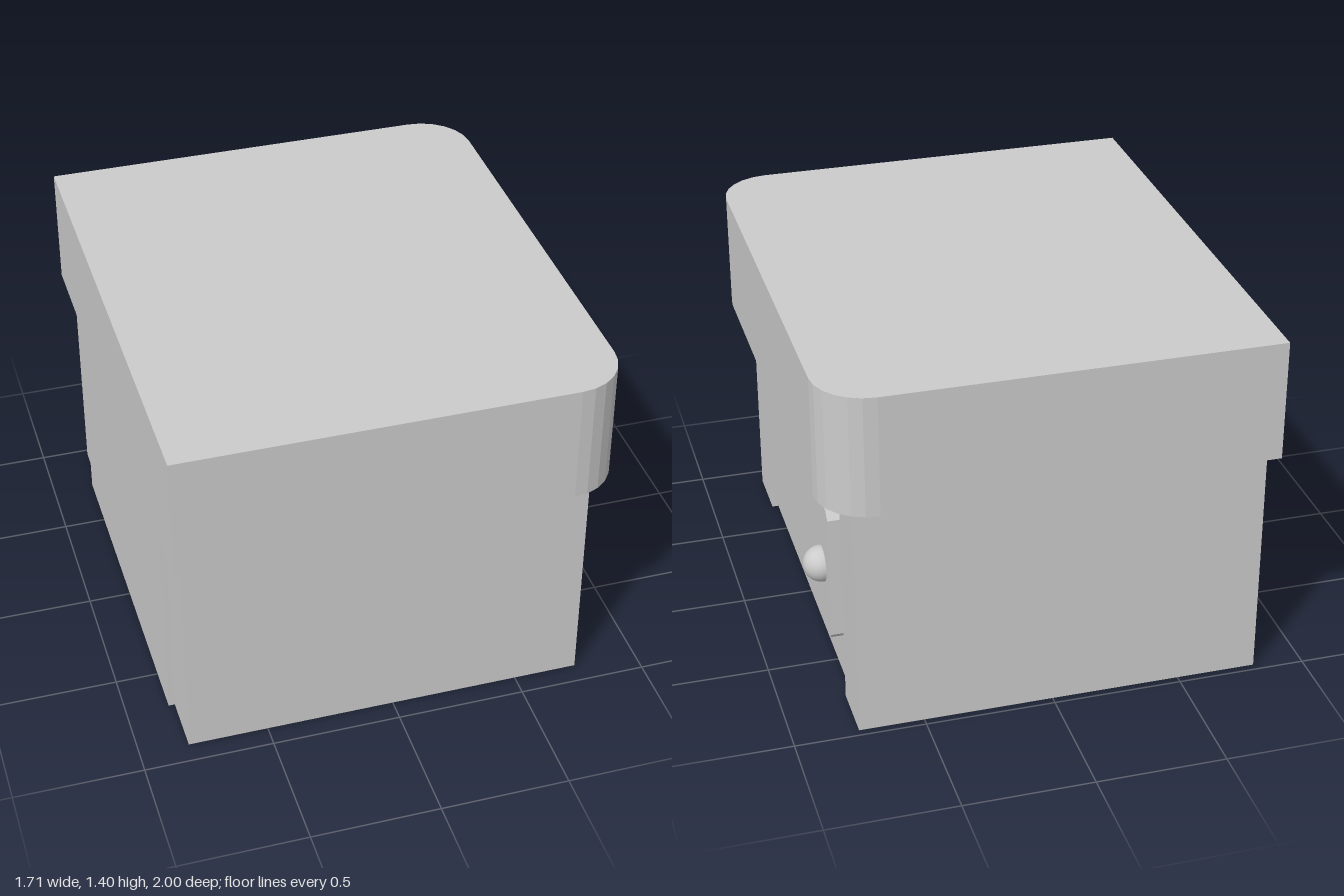
import * as THREE from 'three';

const material = new THREE.MeshStandardMaterial({ color: 0xcccccc, flatShading: true });
const smooth = new THREE.MeshStandardMaterial({ color: 0xcccccc });

export function createModel() {
  const group = new THREE.Group();
  const add = (name, geometry, mat = material) => {
    const mesh = new THREE.Mesh(geometry, mat);
    mesh.name = name;
    group.add(mesh);
    return mesh;
  };
  // Box given by its minimum and maximum corners
  const addBox = (name, [x0, y0, z0], [x1, y1, z1]) =>
    add(name, new THREE.BoxGeometry(x1 - x0, y1 - y0, z1 - z0))
      .position.set((x0 + x1) / 2, (y0 + y1) / 2, (z0 + z1) / 2);

  // Cabinet: two side panels with the body set slightly back between them
  addBox('leftSidePanel', [-0.81, 0, 0.69], [0.75, 0.93, 0.915]);
  addBox('rightSidePanel', [-0.81, 0, -0.97], [0.75, 0.93, -0.745]);
  addBox('body', [-0.835, 0.003, -0.745], [0.725, 0.93, 0.69]);

  // Thick top with rounded corners on the door side (outline in x and -z)
  const X = 0.855, R = 0.2;
  const top = new THREE.Shape();
  top.moveTo(-X, -1);
  top.lineTo(X - R, -1);
  top.absarc(X - R, -1 + R, R, -Math.PI / 2, 0, false);
  top.lineTo(X, 1 - R);
  top.absarc(X - R, 1 - R, R, 0, Math.PI / 2, false);
  top.lineTo(-X, 1);
  top.closePath();
  const topGeometry = new THREE.ExtrudeGeometry(top, { depth: 0.475, bevelEnabled: false, curveSegments: 3 });
  topGeometry.rotateX(-Math.PI / 2);
  add('top', topGeometry).position.y = 0.93;

  // Door with clipped corners (outline in -z and y)
  const w = 0.65, h = 0.278, c = 0.028;
  const door = new THREE.Shape([
    [-w + c, -h], [w - c, -h], [w, -h + c], [w, h - c],
    [w - c, h], [-w + c, h], [-w, h - c], [-w, -h + c],
  ].map(([x, y]) => new THREE.Vector2(x, y)));
  const doorGeometry = new THREE.ExtrudeGeometry(door, { depth: 0.06, bevelEnabled: false });
  doorGeometry.rotateY(Math.PI / 2);
  add('door', doorGeometry).position.set(0.722, 0.487, -0.025);

  // Round knob
  add('knob', new THREE.SphereGeometry(0.07, 24, 16), smooth).position.set(0.787, 0.485, -0.555);

  return group;
}
